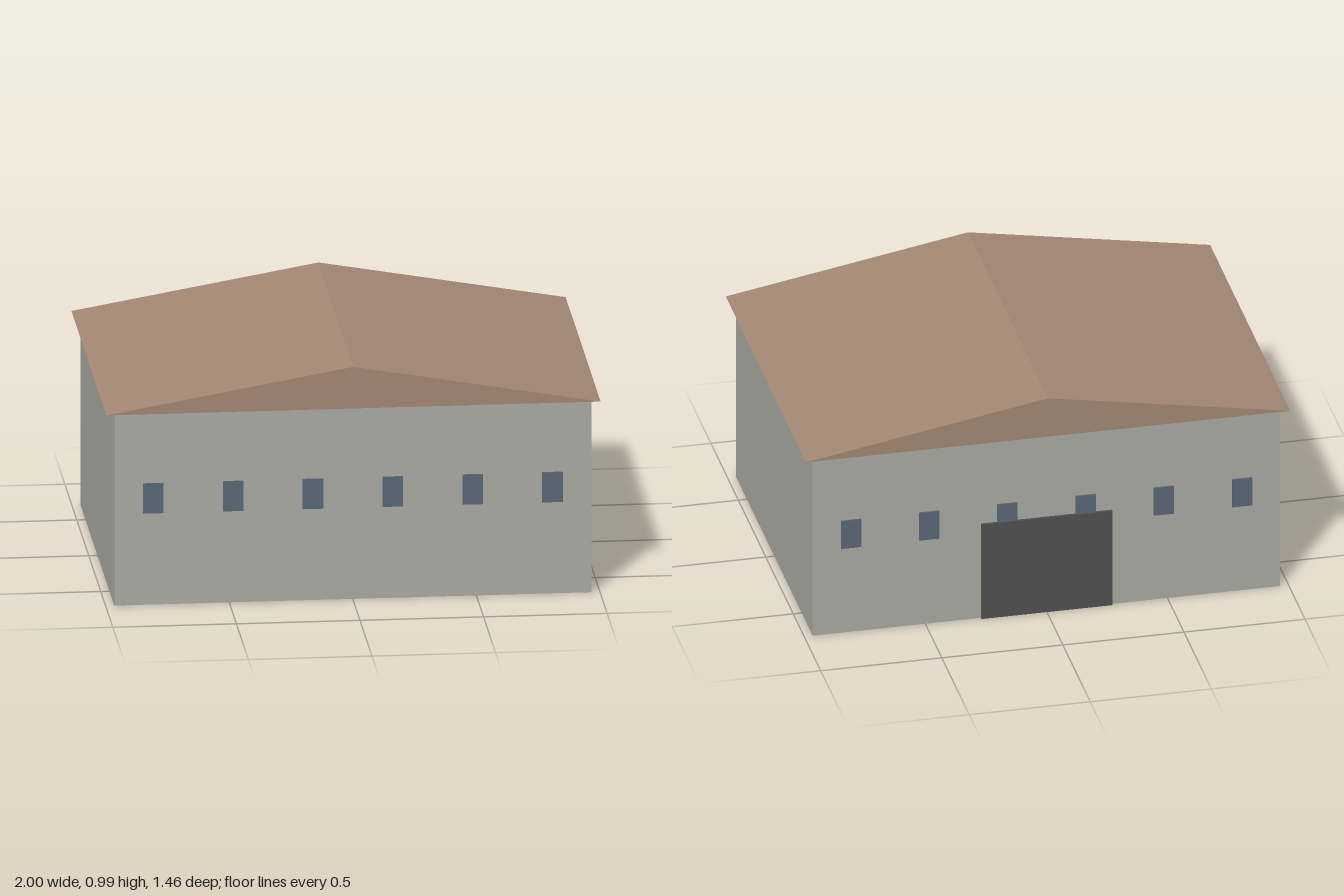
import * as THREE from 'three';

const material = (name, color) => {
  const m = new THREE.MeshStandardMaterial({ color });
  m.name = name;
  return m;
};

export function createModel() {
  const wall = material('wallGrey', 0xa9a9a3);
  const roofBrown = material('roofBrown', 0xa28773);
  const glass = material('windowBlueGrey', 0x596775);
  const doorGrey = material('doorGrey', 0x505050);

  const model = new THREE.Group();
  model.name = 'hall';

  const add = (name, geometry, mat, x, y, z) => {
    const mesh = new THREE.Mesh(geometry, mat);
    mesh.name = name;
    mesh.position.set(x, y, z);
    model.add(mesh);
  };

  // Main body
  const wallHeight = 0.81, halfDepth = 0.7;
  add('walls', new THREE.BoxGeometry(1.93, wallHeight, halfDepth * 2), wall, 0, wallHeight / 2, 0);

  // Gabled roof with overhanging eaves, ridge running front to back
  const gable = new THREE.Shape([
    new THREE.Vector2(-1, 0),
    new THREE.Vector2(1, 0),
    new THREE.Vector2(0, 0.175),
  ]);
  const roof = new THREE.ExtrudeGeometry(gable, { depth: 1.46, bevelEnabled: false });
  add('roof', roof, roofBrown, 0, wallHeight, -0.73);

  // Six windows along the front and back
  const pane = new THREE.BoxGeometry(0.083, 0.126, 0.008);
  for (const side of [1, -1]) {
    for (let i = 0; i < 6; i++) {
      add(side > 0 ? 'frontWindow' : 'backWindow', pane, glass,
        (i - 2.5) * 0.323, 0.448, side * (halfDepth + 0.003));
    }
  }

  // Large rear door, covering the lower edge of the middle windows
  add('rearDoor', new THREE.BoxGeometry(0.54, 0.43, 0.012), doorGrey, 0, 0.215, -halfDepth - 0.005);

  return model;
}
